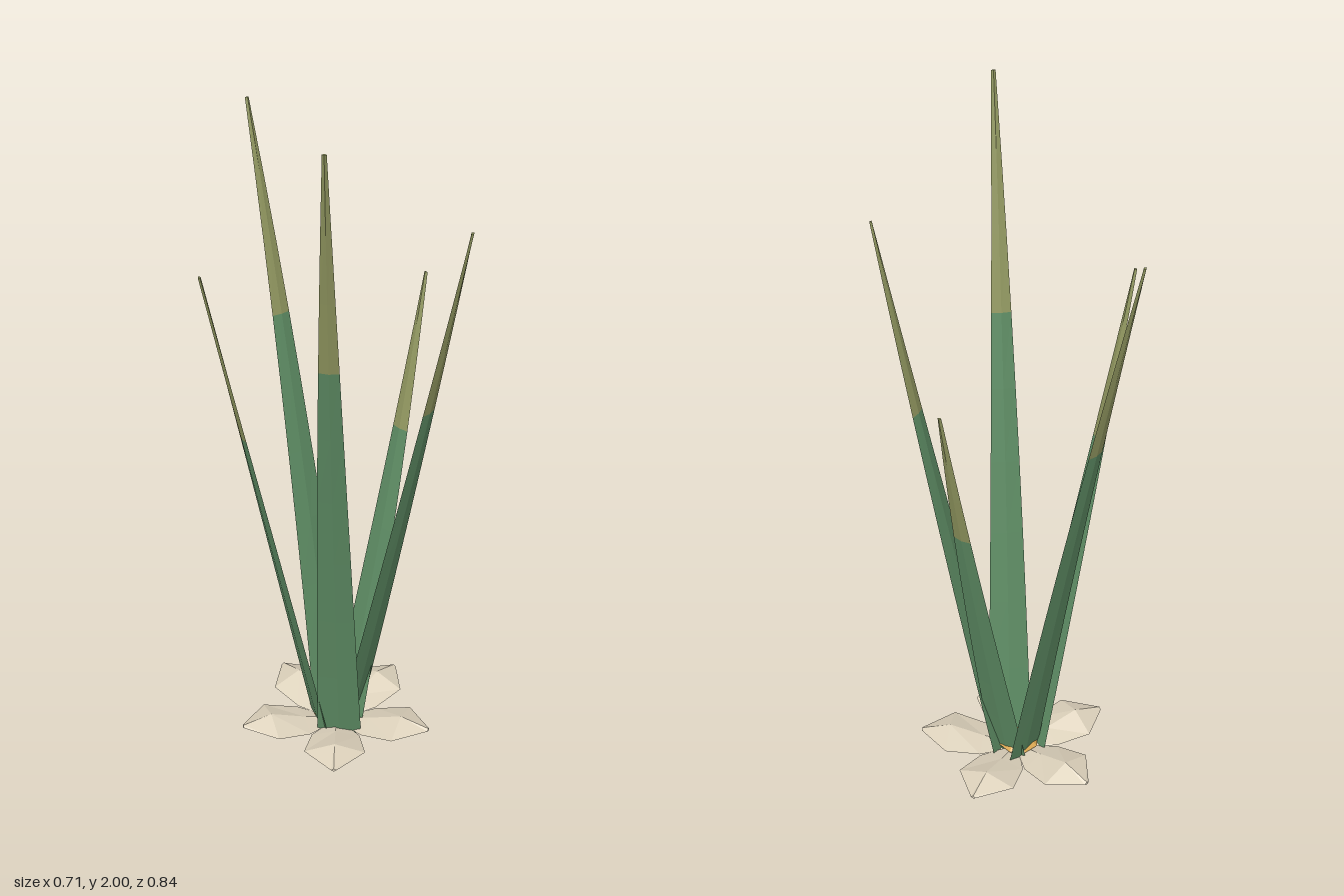
import * as THREE from 'three';

const mat = (name, color) => {
  const m = new THREE.MeshStandardMaterial({ color, flatShading: true });
  m.name = name;
  return m;
};
const V = (x, y, z) => new THREE.Vector3(x, y, z);

// Closed faceted body through rings of corners
function loft(rings) {
  const pos = [];
  const tri = (a, b, c) => [a, b, c].forEach(p => pos.push(p.x, p.y, p.z));
  const n = rings[0].length, end = rings[rings.length - 1];
  for (let i = 0; i < rings.length - 1; i++) {
    for (let j = 0; j < n; j++) {
      const k = (j + 1) % n;
      tri(rings[i][j], rings[i][k], rings[i + 1][k]);
      tri(rings[i][j], rings[i + 1][k], rings[i + 1][j]);
    }
  }
  for (let j = 1; j < n - 1; j++) {
    tri(rings[0][0], rings[0][j + 1], rings[0][j]);
    tri(end[0], end[j], end[j + 1]);
  }
  const g = new THREE.BufferGeometry();
  g.setAttribute('position', new THREE.Float32BufferAttribute(pos, 3));
  g.computeVertexNormals();
  return g;
}

export function createModel() {
  const green = mat('leafGreen', 0x5d8b63);
  const olive = mat('leafTipOlive', 0x90965f);
  const cream = mat('petalCream', 0xdcd1bb);
  const gold = mat('centreGold', 0xdca952);

  const model = new THREE.Group();
  model.name = 'plant';
  const add = (parent, name, geo, m) => {
    const mesh = new THREE.Mesh(geo, m);
    mesh.name = name;
    parent.add(mesh);
    return mesh;
  };

  // Long tapering blades: base, tip, sideways bow of the middle
  const blades = [
    [V(-0.025, 0.01, 0.045), V(-0.355, 2.0, 0.25), V(0.01, 0, -0.012)],
    [V(0.045, 0.01, -0.035), V(0.156, 1.83, -0.415), V(0.014, 0, 0.004)],
    [V(0.032, 0.01, 0.036), V(0.04, 1.7, 0.415), V(0.01, 0, 0)],
    [V(-0.022, 0.01, -0.03), V(-0.31, 1.53, -0.196), V(0.004, 0, -0.004)],
    [V(0.052, 0.01, 0.012), V(0.35, 1.37, 0.056), V(-0.002, 0, 0.01)],
  ];
  const steps = 9, split = 6;
  blades.forEach(([base, tip, bow], b) => {
    const along = tip.clone().sub(base).normalize();
    const side = V(along.z, 0, -along.x).normalize();
    const up = along.clone().cross(side);
    const rings = [];
    for (let i = 0; i <= steps; i++) {
      const t = i / steps;
      const c = base.clone().lerp(tip, t).addScaledVector(bow, 4 * t * (1 - t));
      const w = 0.058 * (1 - t) + 0.006 + 0.012 * t * (1 - t);
      const h = 0.006 - 0.002 * t;
      rings.push([[w, 0], [0, h], [-w, 0], [0, -h]].map(([s, u]) =>
        c.clone().addScaledVector(side, s).addScaledVector(up, u)));
    }
    const blade = new THREE.Group();
    blade.name = 'blade' + (b + 1);
    add(blade, 'bladeBody', loft(rings.slice(0, split + 1)), green);
    add(blade, 'bladeTip', loft(rings.slice(split)), olive);
    model.add(blade);
  });

  // Five ridged petals: distance out, half width, edge, ridge and underside heights
  const flower = new THREE.Group();
  flower.name = 'flower';
  flower.position.set(0.02, 0, 0);
  const profile = [
    [0.01, 0.012, 0.01, 0.018, 0.002],
    [0.1, 0.07, 0.024, 0.038, 0.012],
    [0.2, 0.088, 0.04, 0.068, 0.03],
    [0.285, 0.008, 0.04, 0.045, 0.035],
  ];
  const petalGeo = loft(profile.map(([r, w, edge, ridge, under]) =>
    [V(r, edge, -w), V(r, ridge, 0), V(r, edge, w), V(r, under, 0)]));
  for (let i = 0; i < 5; i++) {
    add(flower, 'petal' + (i + 1), petalGeo, cream).rotation.y = -i * Math.PI * 2 / 5;
  }

  // Low faceted dome in the middle
  const dome = add(flower, 'flowerCentre', new THREE.SphereGeometry(0.06, 8, 4), gold);
  dome.scale.y = 0.4;
  dome.position.set(-0.002, 0.032, -0.006);
  model.add(flower);
  return model;
}
